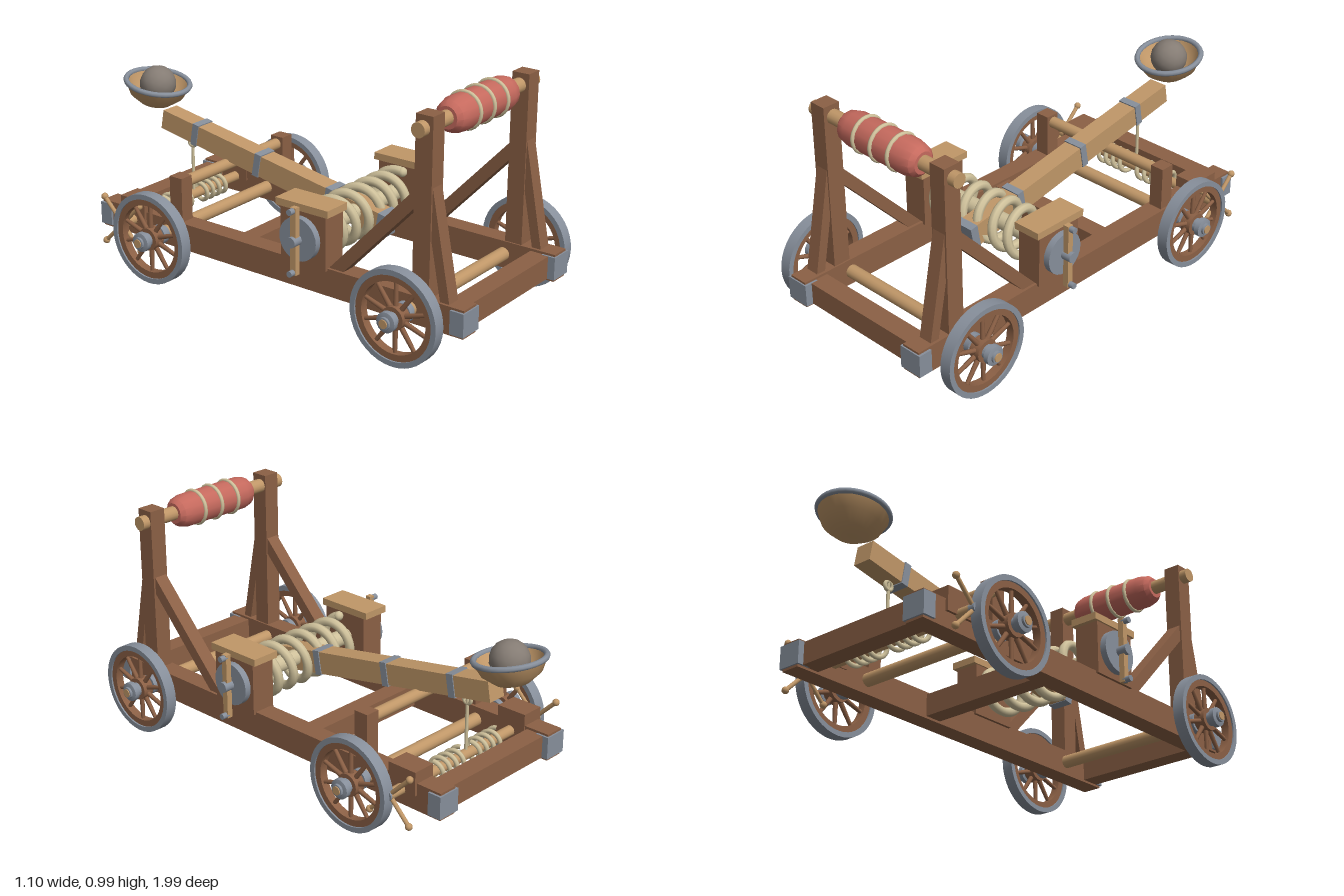
import * as THREE from 'three';
import { toCreasedNormals } from 'three/addons/utils/BufferGeometryUtils.js';

const mat = (name, color) => Object.assign(new THREE.MeshStandardMaterial({ color }), { name });

// Helical path running along x
class Helix extends THREE.Curve {
  constructor(x0, x1, radius, turns, phase = 0) {
    super();
    Object.assign(this, { x0, x1, radius, turns, phase });
  }
  getPoint(t, target = new THREE.Vector3()) {
    const a = this.phase + t * this.turns * Math.PI * 2;
    return target.set(this.x0 + (this.x1 - this.x0) * t, Math.cos(a) * this.radius, Math.sin(a) * this.radius);
  }
}

export function createModel() {
  const model = new THREE.Group();
  model.name = 'catapult';
  const wood = mat('dark wood', 0x8b6045);
  const tan = mat('light wood', 0xc09768);
  const iron = mat('iron', 0x878f9b);
  const rope = mat('rope', 0xcfc19b);
  const red = mat('red padding', 0xc66a5e);
  const stone = mat('stone', 0x857c74);

  const add = (name, geo, material, x = 0, y = 0, z = 0, parent = model) => {
    const m = new THREE.Mesh(geo, material);
    m.name = name;
    m.position.set(x, y, z);
    parent.add(m);
    return m;
  };
  // Box from its limits on each axis
  const box = (name, material, [x0, x1], [y0, y1], [z0, z1], parent = model) =>
    add(name, new THREE.BoxGeometry(x1 - x0, y1 - y0, z1 - z0), material,
      (x0 + x1) / 2, (y0 + y1) / 2, (z0 + z1) / 2, parent);
  // Round bar along x
  const bar = (name, material, r, x0, x1, y, z, parent = model, sides = 16) =>
    add(name, new THREE.CylinderGeometry(r, r, x1 - x0, sides).rotateZ(-Math.PI / 2), material, (x0 + x1) / 2, y, z, parent);
  // Lathe turned so that its axis is x
  const latheX = (pts, sides) => toCreasedNormals(
    new THREE.LatheGeometry(pts.map(p => new THREE.Vector2(...p)), sides).rotateZ(-Math.PI / 2), 0.6);
  // Sloping timber between two (y, z) points
  const brace = (name, x, [y0, z0], [y1, z1], w, t) => {
    const m = add(name, new THREE.BoxGeometry(w, Math.hypot(y1 - y0, z1 - z0), t), wood, x, (y0 + y1) / 2, (z0 + z1) / 2);
    m.rotation.x = Math.atan2(z1 - z0, y1 - y0);
  };
  const sides = (s, a, b) => (s > 0 ? [a, b] : [-b, -a]);
  const ring = (ri, ro, h) => latheX([[ri, -h], [ro, -h], [ro, h], [ri, h], [ri, -h]], 40);

  // Base frame
  for (const [z0, z1] of [[0.88, 0.965], [-0.14, -0.06], [-0.82, -0.735]])
    box('crossBeam', wood, [-0.3, 0.3], [0.145, 0.24], [z0, z1]);
  const axleY = 0.195;
  const wheelZ = [0.755, -0.475];

  for (const s of [1, -1]) {
    box('sideRail', wood, sides(s, 0.285, 0.37), [0.135, 0.25], [-0.84, 0.99]);
    box('cornerCap', iron, sides(s, 0.276, 0.38), [0.145, 0.241], [0.935, 0.996]);
    box('cornerCap', iron, sides(s, 0.276, 0.38), [0.145, 0.241], [-0.847, -0.787]);

    // Front upright and its braces
    box('upright', wood, sides(s, 0.292, 0.366), [0.24, 0.96], [0.757, 0.833]);
    brace('frontBrace', s * 0.328, [0.24, 0.9], [0.7, 0.81], 0.06, 0.04);
    brace('rearBrace', s * 0.328, [0.235, 0.385], [0.66, 0.785], 0.06, 0.05);

    // Torsion block, cap, tightening disc and lever
    box('torsionBlock', wood, sides(s, 0.272, 0.382), [0.24, 0.466], [0.145, 0.365]);
    box('torsionCap', tan, sides(s, 0.265, 0.39), [0.466, 0.496], [0.125, 0.38]);
    bar('tighteningDisc', iron, 0.09, ...sides(s, 0.38, 0.41), 0.355, 0.25, model, 24);
    bar('discHub', iron, 0.022, ...sides(s, 0.41, 0.455), 0.355, 0.25);
    box('tighteningLever', tan, sides(s, 0.415, 0.44), [0.215, 0.495], [0.238, 0.264]);
    for (const y of [0.482, 0.226]) bar('leverPin', iron, 0.013, ...sides(s, 0.43, 0.463), y, 0.25, model, 10);

    // Rear posts for the arm rest and winch bearings
    box('restPost', wood, sides(s, 0.297, 0.36), [0.24, 0.44], [-0.46, -0.395]);
    box('winchBearing', wood, sides(s, 0.28, 0.382), [0.2, 0.3], [-0.725, -0.59]);

    // Winch crank: four crossed spokes with knobs
    const crank = new THREE.Group();
    crank.name = 'winchCrank';
    crank.position.set(s * 0.447, 0.208, -0.655);
    model.add(crank);
    for (let i = 0; i < 2; i++) {
      const a = Math.PI / 4 + i * Math.PI / 2;
      const spoke = add('crankHandle', new THREE.CylinderGeometry(0.009, 0.009, 0.28, 10), tan, 0, 0, 0, crank);
      spoke.rotation.x = a;
      for (const e of [1, -1])
        add('crankKnob', new THREE.SphereGeometry(0.015, 10, 8), tan, 0, e * 0.14 * Math.cos(a), e * 0.14 * Math.sin(a), crank);
    }
    bar('crankHub', iron, 0.022, -0.015, 0.015, 0, 0, crank);

    // Wheels
    for (const z of wheelZ) {
      const wheel = new THREE.Group();
      wheel.name = 'wheel';
      wheel.position.set(s * 0.465, axleY, z);
      wheel.rotation.y = s > 0 ? 0 : Math.PI;
      model.add(wheel);
      add('ironTyre', ring(0.172, 0.194, 0.025), iron, 0, 0, 0, wheel);
      add('woodenRim', ring(0.145, 0.174, 0.018), wood, 0, 0, 0, wheel);
      for (let i = 0; i < 10; i++) {
        const a = i * Math.PI / 5;
        const spoke = add('spoke', new THREE.CylinderGeometry(0.008, 0.011, 0.13, 8), wood,
          0, 0.09 * Math.cos(a), 0.09 * Math.sin(a), wheel);
        spoke.rotation.x = a;
      }
      bar('woodenHub', wood, 0.048, -0.024, 0.024, 0, 0, wheel, 20);
      add('hubFittings', latheX([[0, -0.08], [0.03, -0.08], [0.03, -0.062], [0.042, -0.062], [0.042, -0.036],
        [0.03, -0.036], [0.03, 0.04], [0.041, 0.044], [0.041, 0.066], [0.025, 0.07], [0.025, 0.08], [0, 0.08]], 18), iron, 0, 0, 0, wheel);
    }
  }

  // Axles, arm rest and top bar
  for (const z of wheelZ) bar('axle', tan, 0.026, -0.549, 0.549, axleY, z).scale.set(1, 0.7, 0.7);
  for (const z of wheelZ) bar('axleBeam', tan, 0.028, -0.4, 0.4, axleY, z);
  bar('armRest', tan, 0.025, -0.33, 0.33, 0.405, -0.43);
  bar('topBar', tan, 0.03, -0.4, 0.4, 0.91, 0.79);

  // Padded stop with rope bindings
  add('padding', latheX([[0, -0.213], [0.045, -0.213], [0.062, -0.195], [0.072, -0.155],
    [0.072, 0.155], [0.062, 0.195], [0.045, 0.213], [0, 0.213]], 14), red, 0, 0.908, 0.79);
  for (const x of [-0.095, 0, 0.095])
    add('paddingRope', new THREE.TorusGeometry(0.071, 0.009, 8, 28).rotateY(Math.PI / 2), rope, x, 0.908, 0.79);

  // Torsion rope bundle
  const coil = new Helix(-0.255, 0.255, 0.094, 6, 0.3);
  add('torsionRope', new THREE.TubeGeometry(coil, 240, 0.02, 8), rope, 0, 0.355, 0.248);
  for (const t of [0, 1]) {
    const p = coil.getPoint(t);
    add('ropeEnd', new THREE.SphereGeometry(0.021, 10, 8), rope, p.x, p.y + 0.355, p.z + 0.248);
  }
  bar('ropeCore', rope, 0.035, -0.275, 0.275, 0.355, 0.248);

  // Winch drum, its rope and the pull-down line
  bar('winchShaft', tan, 0.022, -0.455, 0.455, 0.208, -0.655);
  for (const [x0, x1] of [[-0.195, -0.03], [0.03, 0.195]])
    add('winchRope', new THREE.TubeGeometry(new Helix(x0, x1, 0.042, 4), 120, 0.01, 7), rope, 0, 0.208, -0.655);
  add('pullRope', new THREE.CylinderGeometry(0.007, 0.007, 0.25, 8), rope, 0, 0.345, -0.655);
  add('pullKnot', new THREE.TorusGeometry(0.018, 0.008, 8, 16).rotateY(Math.PI / 2), rope, 0, 0.447, -0.655);

  // Throwing arm, tapering to the rear, with iron bands
  const arm = new THREE.Group();
  arm.name = 'throwingArm';
  arm.position.set(0, 0.375, 0.1);
  arm.rotation.x = 0.178;
  model.add(arm);
  const height = z => 0.096 + z * 0.012;
  const beam = new THREE.BoxGeometry(0.084, 1, 1.2).translate(0, 0, -0.305);
  const p = beam.attributes.position;
  for (let i = 0; i < p.count; i++) p.setY(i, p.getY(i) * height(p.getZ(i)));
  beam.computeVertexNormals();
  add('armBeam', beam, tan, 0, 0, 0, arm);
  for (const z of [0.015, -0.365, -0.715])
    box('armBand', iron, [-0.046, 0.046], [-height(z) / 2 - 0.005, height(z) / 2 + 0.005], [z - 0.016, z + 0.016], arm);
  box('armEndCap', iron, [-0.046, 0.046], [-0.052, 0.052], [0.265, 0.302], arm);

  // Bowl and stone
  const bowl = new THREE.Group();
  bowl.name = 'bowl';
  bowl.position.set(0, 0.683, -0.85);
  bowl.rotation.x = 0.178;
  model.add(bowl);
  const profile = [[0, -0.1], [0.07, -0.094], [0.118, -0.055], [0.143, 0], [0.13, 0], [0.105, -0.045], [0.06, -0.075], [0, -0.08]];
  add('bowlShell', toCreasedNormals(new THREE.LatheGeometry(profile.map(q => new THREE.Vector2(...q)), 24), 0.7), tan, 0, 0, 0, bowl);
  add('bowlRim', new THREE.TorusGeometry(0.139, 0.012, 8, 32).rotateX(Math.PI / 2), iron, 0, 0, 0, bowl);
  const ball = new THREE.IcosahedronGeometry(0.08, 2);
  add('stoneBall', toCreasedNormals(ball, 0.6), stone, 0, 0.676, -0.85);

  return model;
}
